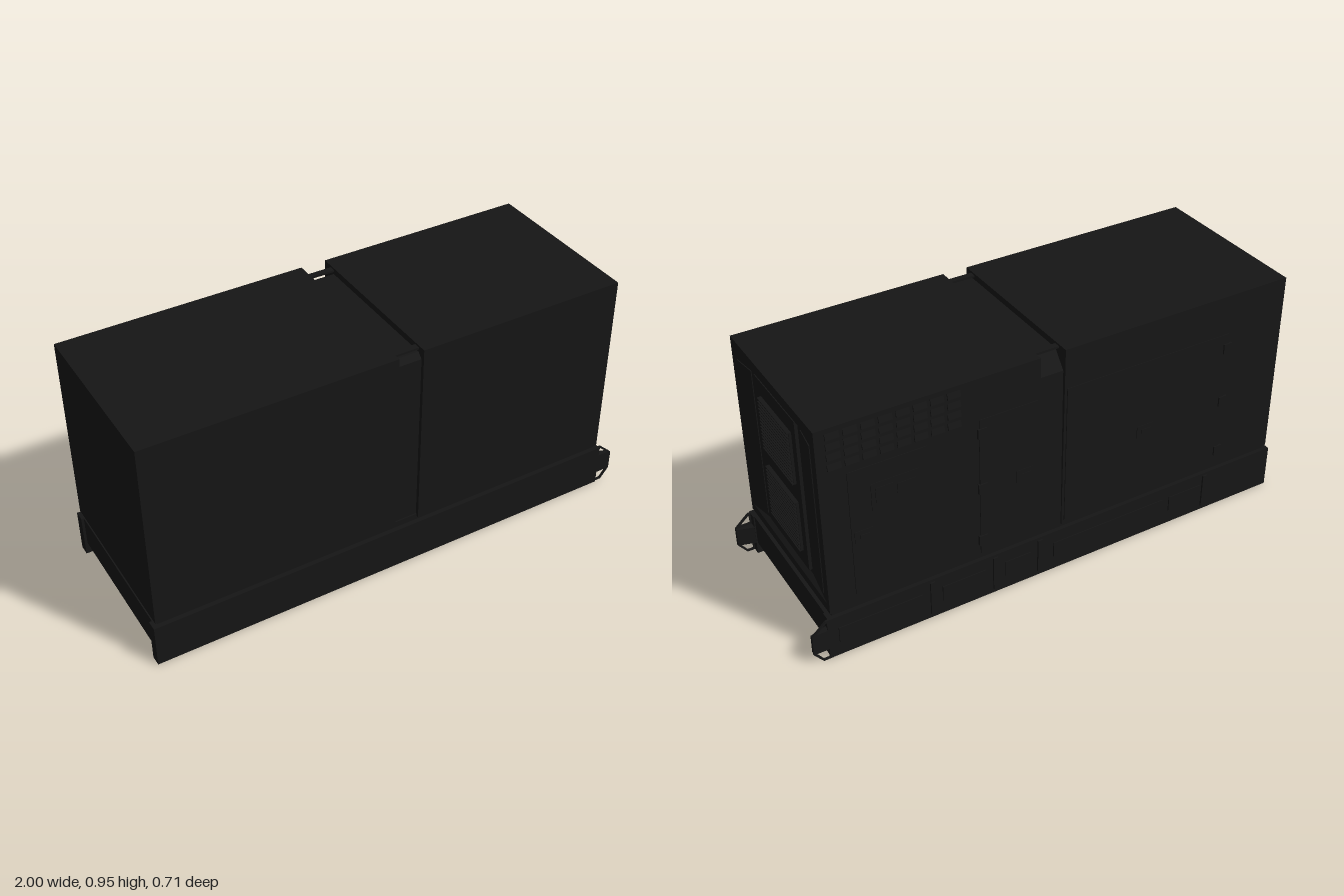
import * as THREE from 'three';

const mat = new THREE.MeshStandardMaterial({ color: 0x161616, side: THREE.DoubleSide });

export function createModel() {
  const root = new THREE.Group();
  root.name = 'generatorEnclosure';

  const add = (name, geo, parent = root) => {
    const m = new THREE.Mesh(geo, mat);
    m.name = name;
    parent.add(m);
    return m;
  };
  // Box given by its extents on each axis
  const box = (name, x0, x1, y0, y1, z0, z1, parent = root) => {
    const m = add(name, new THREE.BoxGeometry(x1 - x0, y1 - y0, z1 - z0), parent);
    m.position.set((x0 + x1) / 2, (y0 + y1) / 2, (z0 + z1) / 2);
    return m;
  };
  const group = (name) => {
    const g = new THREE.Group();
    g.name = name;
    root.add(g);
    return g;
  };
  const shapeOf = (pts) => new THREE.Shape(pts.map(([a, b]) => new THREE.Vector2(a, b)));
  const extrude = (shape, depth) => new THREE.ExtrudeGeometry(shape, { depth, bevelEnabled: false });

  const ZB = -0.335, ZF = 0.345, XR = 0.922; // canopy back, front and right faces

  // Skid base: deck, two long rails and the neck below the canopy
  const base = group('skidBase');
  box('deck', -0.99, 0.93, 0.05, 0.175, -0.33, 0.335, base);
  box('frontRail', -1, 0.935, 0, 0.175, 0.312, 0.353, base);
  box('backRail', -1, 0.935, 0, 0.175, -0.345, -0.303, base);
  box('neck', -0.98, 0.915, 0.17, 0.2, -0.328, 0.335, base);

  // Pressed panels and straps along the back rail
  for (const [a, b] of [[0.57, 0.9], [0.31, 0.49], [0.12, 0.23], [-0.48, 0.02], [-0.66, -0.51]])
    box('railPanel', a, b, 0.06, 0.125, -0.35, -0.344, base);
  for (const x of [0.53, 0.27, 0.08, -0.68])
    box('railStrap', x - 0.01, x + 0.01, 0.02, 0.165, -0.352, -0.344, base);

  // Towing lugs: pierced plate with a stiffening wedge
  for (const s of [1, -1]) {
    const lug = shapeOf([[0.93, 0], [0.965, 0], [1, 0.045], [1, 0.125], [0.945, 0.175], [0.93, 0.175]]);
    lug.holes.push(
      new THREE.Path([[0.94, 0.13], [0.985, 0.13], [0.942, 0.168]].map((p) => new THREE.Vector2(...p))),
      new THREE.Path([[0.94, 0.006], [0.962, 0.006], [0.99, 0.044], [0.94, 0.044]].map((p) => new THREE.Vector2(...p))),
    );
    add('lugPlate', extrude(lug, 0.008), base).position.z = s > 0 ? 0.34 : -0.346;
    const wedge = add('lugWedge', extrude(shapeOf([[0.93, s * 0.312], [1, s * 0.332], [1, s * 0.345], [0.93, s * 0.345]]), 0.075), base);
    wedge.rotation.x = Math.PI / 2;
    wedge.position.y = 0.125;
  }

  // Canopy halves, with a recessed band between them
  const canopy = group('canopy');
  box('leftHousing', -0.99, -0.02, 0.19, 0.95, ZB, ZF, canopy);
  box('rightHousing', 0.08, 0.9, 0.19, 0.95, ZB, ZF, canopy);
  const band = add('recessedBand', extrude(shapeOf([
    [-0.33, 0.19], [-0.315, 0.19], [-0.315, 0.19], [0.33, 0.19], [0.33, 0.905], [0.31, 0.925], [-0.27, 0.925], [-0.322, 0.86],
  ].filter((p, i) => i !== 2)), 0.1), canopy);
  band.rotation.y = -Math.PI / 2; // profile runs along z, depth along x
  band.position.x = 0.08;
  for (const z of [-0.28, 0.3])
    box('bandTieBar', -0.025, 0.085, 0.935, 0.943, z - 0.012, z + 0.012, canopy);

  // Right end: rim, shallow sloping surround, centre panel and angled doors
  const end = group('rightEnd');
  const O = { z0: -0.318, z1: 0.325, y0: 0.225, y1: 0.908 };
  const I = { z0: -0.17, z1: 0.19, y0: 0.24, y1: 0.892 };
  const ring = (r) => [[-r.z1, r.y0], [-r.z0, r.y0], [-r.z0, r.y1], [-r.z1, r.y1]];
  const rim = shapeOf([[-ZF, 0.19], [-ZB, 0.19], [-ZB, 0.95], [-ZF, 0.95]]);
  rim.holes.push(new THREE.Path(ring(O).map((p) => new THREE.Vector2(...p))));
  const rimMesh = add('endRim', extrude(rim, 0.024), end);
  rimMesh.rotation.y = Math.PI / 2;
  rimMesh.position.x = XR - 0.024;

  const slopes = [];
  const o = ring(O), n = ring(I);
  for (let i = 0; i < 4; i++) {
    const j = (i + 1) % 4;
    const P = [[XR, ...o[i]], [XR, ...o[j]], [XR - 0.018, ...n[j]], [XR - 0.018, ...n[i]]];
    for (const k of [0, 1, 2, 0, 2, 3]) slopes.push(P[k][0], P[k][2], -P[k][1]);
  }
  const slopeGeo = new THREE.BufferGeometry();
  slopeGeo.setAttribute('position', new THREE.Float32BufferAttribute(slopes, 3));
  slopeGeo.computeVertexNormals();
  add('endSurround', slopeGeo, end);
  box('centrePanel', 0.895, XR - 0.01, I.y0 + 0.01, I.y1 - 0.01, -0.155, I.z1 - 0.012, end);
  for (const [z, s] of [[0.257, 1], [-0.245, -1]]) {
    const door = box('angledEndDoor', 0.908, 0.916, 0.255, 0.875, z - 0.048, z + 0.048, end);
    door.rotation.y = s * 0.13;
  }

  // Two mesh grilles on the centre panel
  for (const y0 of [0.32, 0.61]) {
    const y1 = y0 + 0.208;
    for (let i = 0; i <= 20; i++) {
      const z = -0.12 + i * 0.0123;
      box('grilleUpright', 0.91, 0.922, y0, y1, z - 0.002, z + 0.002, end);
    }
    for (let i = 0; i <= 14; i++) {
      const y = y0 + (i * 0.208) / 14;
      box('grilleBar', 0.91, 0.928, y - 0.002, y + 0.002, -0.122, 0.128, end);
    }
  }

  // Service side: doors, handles and hinges
  const side = group('serviceSide');
  const doors = [
    { x0: 0.525, x1: 0.82, y0: 0.235, y1: 0.755, handle: [0.775, 0.48] },
    { x0: 0.09, x1: 0.325, y0: 0.205, y1: 0.785, handle: [0.145, 0.49], hinge: 0.315 },
    { x0: -0.74, x1: -0.03, y0: 0.205, y1: 0.79, handle: [-0.375, 0.49], hinge: -0.735 },
  ];
  for (const d of doors) {
    box('serviceDoor', d.x0, d.x1, d.y0, d.y1, ZB - 0.004, ZB + 0.01, side);
    const [hx, hy] = d.handle;
    box('handlePlate', hx - 0.035, hx + 0.035, hy - 0.025, hy + 0.025, ZB - 0.007, ZB, side);
    box('handleLever', hx - 0.025, hx + 0.015, hy - 0.008, hy + 0.008, ZB - 0.01, ZB, side);
    if (d.hinge !== undefined)
      for (const y of [0.265, 0.495, 0.73])
        box('hinge', d.hinge - 0.018, d.hinge + 0.018, y - 0.02, y + 0.02, ZB - 0.01, ZB, side);
  }

  // Control window on the first door
  box('controlFrame', 0.56, 0.74, 0.57, 0.68, ZB - 0.007, ZB, side);
  box('controlScreen', 0.66, 0.725, 0.6, 0.66, ZB - 0.01, ZB, side);
  box('controlKeys', 0.575, 0.645, 0.61, 0.65, ZB - 0.01, ZB, side);

  // Rows of sloping louvres at the top corner
  for (let r = 0; r < 4; r++)
    for (let c = 0; c < 8; c++) {
      const x = 0.86 - c * 0.063, y = 0.92 - r * 0.04;
      const louvre = box('louvre', x - 0.025, x + 0.025, y - 0.012, y + 0.012, ZB - 0.005, ZB + 0.001, side);
      louvre.rotation.x = 0.25;
    }

  return root;
}
